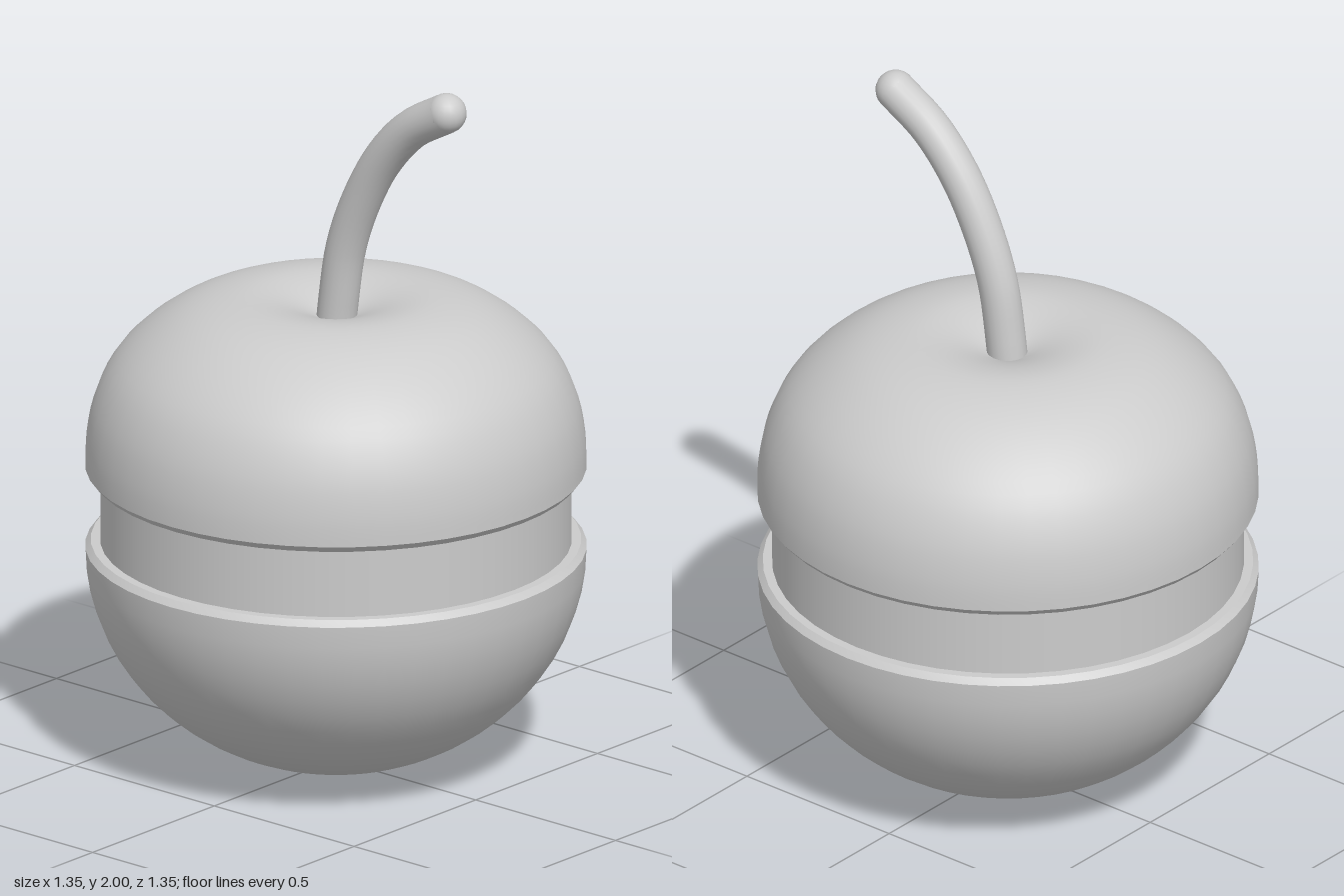
import * as THREE from 'three';
import { toCreasedNormals } from 'three/addons/utils/BufferGeometryUtils.js';

const material = new THREE.MeshStandardMaterial({ color: 0xcccccc });
const v2 = ([x, y]) => new THREE.Vector2(x, y);

function addMesh(group, name, geometry) {
  const mesh = new THREE.Mesh(geometry, material);
  mesh.name = name;
  group.add(mesh);
  return mesh;
}

// Revolve a profile listed from bottom to top, keeping its corners sharp
function turned(points) {
  return toCreasedNormals(new THREE.LatheGeometry(points, 48), 0.6);
}

export function createModel() {
  const group = new THREE.Group();
  group.name = 'cherryJar';

  // Lower half: slightly flattened hemisphere with a chamfered lip
  const bowl = [];
  for (let i = 0; i <= 16; i++) {
    const a = (i / 16) * Math.PI / 2;
    bowl.push(v2([0.677 * Math.sin(a), 0.62 - 0.615 * Math.cos(a)]));
  }
  bowl.push(v2([0.662, 0.637]), v2([0, 0.637]));
  addMesh(group, 'lowerHalf', turned(bowl));

  // Straight band between the halves
  const band = addMesh(group, 'middleBand', new THREE.CylinderGeometry(0.637, 0.637, 0.24, 48, 1, true));
  band.position.y = 0.735;

  // Upper half: flat underside, chamfered lip, rounded shoulder and dimpled top
  const shoulder = new THREE.SplineCurve([
    [0.677, 0.85], [0.674, 0.93], [0.655, 1.03], [0.61, 1.13], [0.54, 1.21], [0.45, 1.275],
    [0.36, 1.313], [0.26, 1.33], [0.18, 1.323], [0.11, 1.303], [0.05, 1.277], [0, 1.25],
  ].map(v2)).getPoints(33);
  shoulder[33].x = 0;
  addMesh(group, 'upperHalf', turned([v2([0, 0.832]), v2([0.662, 0.832]), ...shoulder]));

  // Stem curving up and forward, with a round tip
  const path = new THREE.CatmullRomCurve3([
    [0, 1.2, -0.005], [0, 1.33, 0.01], [0, 1.48, 0.036], [0, 1.62, 0.088],
    [0, 1.76, 0.168], [0, 1.87, 0.27], [0, 1.945, 0.395],
  ].map((p) => new THREE.Vector3(...p)));
  addMesh(group, 'stem', new THREE.TubeGeometry(path, 28, 0.055, 20));
  const tip = addMesh(group, 'stemTip', new THREE.SphereGeometry(0.055, 20, 14));
  tip.position.set(0, 1.945, 0.395);

  return group;
}
